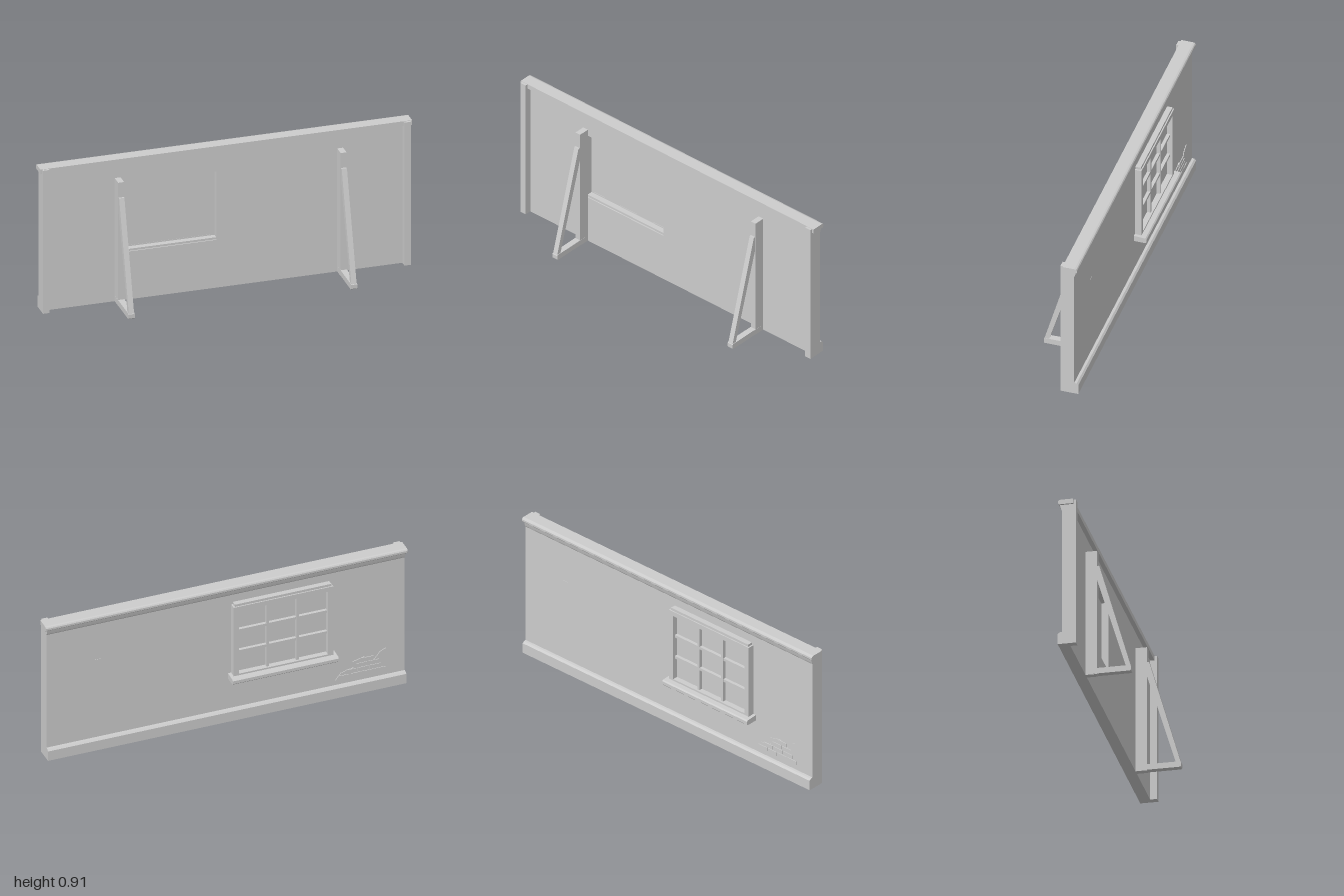
import * as THREE from 'three';

const paint = new THREE.MeshStandardMaterial({ color: 0xcccccc, side: THREE.DoubleSide });
paint.name = 'plain grey';

// Wall space: x runs along the wall, z points to the braced side.
function add(parent, name, geometry) {
  const mesh = new THREE.Mesh(geometry, paint);
  mesh.name = name;
  parent.add(mesh);
  return mesh;
}

// Box given by its limits
function slab(parent, name, x0, x1, y0, y1, z0, z1) {
  const mesh = add(parent, name, new THREE.BoxGeometry(x1 - x0, y1 - y0, z1 - z0));
  mesh.position.set((x0 + x1) / 2, (y0 + y1) / 2, (z0 + z1) / 2);
  return mesh;
}

// Profile of [z, y] points swept along the wall from x0 to x1
function sweep(parent, name, points, x0, x1) {
  const shape = new THREE.Shape(points.map(([z, y]) => new THREE.Vector2(-z, y)));
  const g = new THREE.ExtrudeGeometry(shape, { depth: x1 - x0, bevelEnabled: false });
  g.rotateY(Math.PI / 2).translate(x0, 0, 0);
  return add(parent, name, g);
}

function rect(Type, x0, x1, y0, y1) {
  return new Type([[x0, y0], [x1, y0], [x1, y1], [x0, y1]].map(([x, y]) => new THREE.Vector2(x, y)));
}

// Rectangular panel with a rectangular opening
function pierced(parent, name, outer, inner, z0, z1) {
  const shape = rect(THREE.Shape, ...outer);
  shape.holes.push(rect(THREE.Path, ...inner));
  const g = new THREE.ExtrudeGeometry(shape, { depth: z1 - z0, bevelEnabled: false });
  return add(parent, name, g.translate(0, 0, z0));
}

function buildWindow(parent) {
  const win = new THREE.Group();
  win.name = 'window';
  parent.add(win);
  pierced(win, 'windowFrame', [-0.655, -0.035, 0.3, 0.785], [-0.622, -0.068, 0.325, 0.755], -0.07, -0.03);
  slab(win, 'windowPane', -0.622, -0.068, 0.32, 0.757, -0.036, -0.031);
  slab(win, 'windowHeader', -0.645, -0.045, 0.785, 0.8, -0.063, -0.03);
  sweep(win, 'windowSill', [[-0.03, 0.28], [-0.1, 0.28], [-0.107, 0.287], [-0.107, 0.306], [-0.1, 0.313], [-0.03, 0.317]], -0.675, -0.015);
  slab(win, 'innerSill', -0.64, -0.05, 0.305, 0.318, -0.03, 0.005);
  // Bars dividing the window into three by three
  for (const i of [1, 2]) {
    const x = -0.622 + (0.554 * i) / 3, y = 0.325 + (0.43 * i) / 3;
    slab(win, 'uprightBar', x - 0.008, x + 0.008, 0.325, 0.755, -0.058, -0.034);
    slab(win, 'crossBar', -0.622, -0.068, y - 0.008, y + 0.008, -0.056, -0.034);
  }
  for (const x of [-0.545, -0.145]) slab(win, 'sillBracket', x - 0.025, x + 0.025, 0.262, 0.28, -0.075, -0.03);
}

function buildBrace(parent, x) {
  const brace = new THREE.Group();
  brace.name = 'brace';
  brace.position.x = x;
  parent.add(brace);
  slab(brace, 'bracePost', -0.018, 0.018, 0, 0.785, 0.012, 0.08);
  sweep(brace, 'braceFoot', [[0.03, 0.003], [0.276, 0.003], [0.281, 0.008], [0.281, 0.033], [0.276, 0.038], [0.03, 0.038]], -0.019, 0.019);
  sweep(brace, 'braceStrut', [[0.08, 0.69], [0.08, 0.6], [0.252, 0.03], [0.28, 0.03], [0.092, 0.69]], -0.016, 0.016);
}

// Patch where the plaster has fallen from the bricks
function buildBrickPatch(parent) {
  const patch = new THREE.Group();
  patch.name = 'brickPatch';
  parent.add(patch);
  const edge = [[-0.683, 0.108], [-0.715, 0.152], [-0.796, 0.172], [-0.79, 0.212], [-0.86, 0.23],
    [-0.925, 0.198], [-0.96, 0.242], [-1.0, 0.26], [-1.0, 0.108]];
  const shape = new THREE.Shape(edge.map(([x, y]) => new THREE.Vector2(x, y)));
  add(patch, 'mortar', new THREE.ExtrudeGeometry(shape, { depth: 0.004, bevelEnabled: false }).translate(0, 0, -0.034));
  const rows = [-0.7, -0.725, -0.81, -0.83];
  rows.forEach((start, r) => {
    const y = 0.112 + r * 0.03;
    for (let x = start - (r % 2) * 0.02; x - 0.06 > -1.01; x -= 0.075) {
      if (r === 3 && x < -0.86 && x > -0.93) continue;
      slab(patch, 'brick', Math.max(x - 0.068, -0.998), x, y, y + 0.024, -0.038, -0.033);
    }
  });
}

export function createModel() {
  const model = new THREE.Group();
  model.name = 'sceneryWall';
  const wall = new THREE.Group();
  wall.name = 'wallAssembly';
  wall.rotation.y = Math.PI / 3;
  model.add(wall);

  pierced(wall, 'wallPanel', [-1.115, 1.115, 0, 0.886], [-0.64, -0.05, 0.305, 0.742], -0.03, 0.012);
  sweep(wall, 'topCap', [[0.038, 0.885], [0.038, 0.914], [-0.035, 0.914], [-0.045, 0.911], [-0.05, 0.904], [-0.05, 0.892], [-0.043, 0.885]], -1.126, 1.126);
  sweep(wall, 'crownMoulding', [[-0.03, 0.85], [-0.034, 0.856], [-0.037, 0.866], [-0.042, 0.885], [-0.03, 0.885]], -1.115, 1.115);
  sweep(wall, 'baseboard', [[-0.03, 0], [-0.055, 0], [-0.055, 0.064], [-0.045, 0.074], [-0.03, 0.076]], -1.115, 1.115);

  for (const s of [-1, 1]) {
    slab(wall, 'endPost', s * 1.095 - 0.02, s * 1.095 + 0.02, 0, 0.912, 0.012, 0.053);
  }
  buildBrace(wall, -0.65);
  buildBrace(wall, 0.698);
  buildWindow(wall);
  buildBrickPatch(wall);

  // Small crack in the plaster
  slab(wall, 'crack', 0.78, 0.815, 0.603, 0.608, -0.032, -0.03);
  slab(wall, 'crack', 0.812, 0.817, 0.585, 0.606, -0.032, -0.03);
  return model;
}
